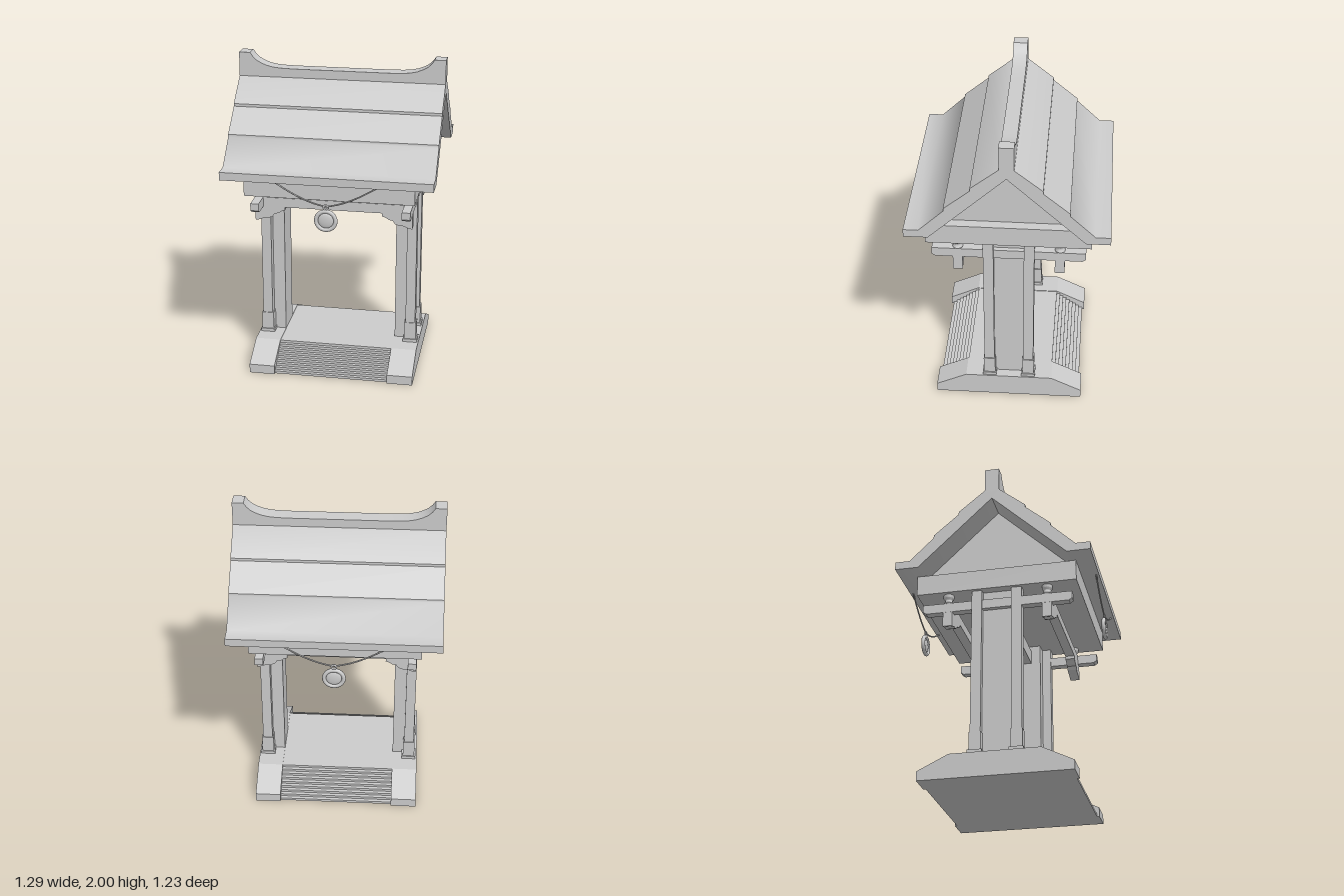
import * as THREE from 'three';
import { toCreasedNormals } from 'three/addons/utils/BufferGeometryUtils.js';

const stone = new THREE.MeshStandardMaterial({ color: 0xcccccc });
stone.name = 'pale grey';

export function createModel() {
  const model = new THREE.Group();
  model.name = 'shrineGate';

  const add = (name, geometry, x = 0, y = 0, z = 0, parent = model) => {
    const mesh = new THREE.Mesh(geometry, stone);
    mesh.name = name;
    mesh.position.set(x, y, z);
    parent.add(mesh);
    return mesh;
  };
  // Box given by its centre in x and z and its bottom and top heights
  const box = (name, w, d, y0, y1, x = 0, z = 0) =>
    add(name, new THREE.BoxGeometry(w, y1 - y0, d), x, (y0 + y1) / 2, z);
  // Mirror a half outline (listed from right to centre) into a closed one
  const mirrored = (half) => [...half, ...half.filter((p) => p[0] !== 0).reverse().map(([a, b]) => [-a, b])];
  const extrude = (points, depth, crease = 0.9) => {
    const shape = new THREE.Shape(points.map(([a, b]) => new THREE.Vector2(a, b)));
    const g = new THREE.ExtrudeGeometry(shape, { depth, bevelEnabled: false });
    g.translate(0, 0, -depth / 2);
    return toCreasedNormals(g, crease);
  };
  // Outline in (z, y), run along x
  const alongX = (points, width, crease) => extrude(points, width, crease).rotateY(-Math.PI / 2);

  // Base: sloped side curbs, a middle platform and stairs front and back
  const curb = alongX(mirrored([[0.47, 0], [0.47, 0.058], [0.277, 0.152]]), 0.162, 0.1);
  for (const s of [-1, 1]) add('baseCurb', curb, s * 0.444, 0, 0);
  const stairs = [];
  const count = 9, rise = 0.148 / count, tread = 0.0225;
  for (let i = 0; i < count; i++) {
    const z = 0.455 - i * tread;
    stairs.push([z, i * rise], [z, (i + 1) * rise]);
  }
  add('stairsAndPlatform', alongX(mirrored(stairs), 0.728, 0.1));

  // Pillars: a wide panel between two posts on each side
  for (const sx of [-1, 1]) {
    box('pillarPanel', 0.1, 0.2, 0.148, 1.23, sx * 0.413, 0);
    for (const sz of [-1, 1]) {
      const x = sx * 0.47, z = sz * 0.125;
      box('post', 0.062, 0.064, 0.15, 1.23, x, z);
      box('postFoot', 0.076, 0.074, 0.172, 0.286, x, z);
      box('postPlinth', 0.092, 0.088, 0.15, 0.172, x, z);
    }
  }

  // Side arms running front to back, with chamfered lower ends
  const arm = alongX(mirrored([[0.45, 1.1], [0.47, 1.115], [0.47, 1.16]]), 0.052, 0.1);
  // Cross beams with stepped, scalloped bracket ends
  const crossBeam = extrude(mirrored([
    [0.492, 1.16], [0.492, 1.005], [0.465, 1.012], [0.435, 1.024], [0.41, 1.024],
    [0.385, 1.034], [0.37, 1.055], [0.345, 1.06], [0.325, 1.074], [0.305, 1.08], [0.305, 1.1],
  ]), 0.06, 0.1);
  // Round waisted blocks between arms and roof beam
  const capital = new THREE.LatheGeometry([
    [0, 0], [0.028, 0], [0.032, 0.008], [0.023, 0.022], [0.023, 0.032],
    [0.033, 0.044], [0.033, 0.068], [0, 0.068],
  ].map(([r, y]) => new THREE.Vector2(r, y)), 20);
  const capitalGeometry = toCreasedNormals(capital, 0.7);
  for (const sx of [-1, 1]) {
    add('sideArm', arm, sx * 0.467);
    for (const sz of [-1, 1]) add('capital', capitalGeometry, sx * 0.467, 1.158, sz * 0.312);
  }
  for (const sz of [-1, 1]) add('crossBeam', crossBeam, 0, 0, sz * 0.312);
  box('centreBeam', 0.8, 0.08, 1.1, 1.19);

  // Roof frame and recessed gable
  box('roofFrame', 1.046, 1.006, 1.222, 1.352);
  add('gable', alongX([[0.467, 1.35], [0, 1.788], [-0.467, 1.35]], 0.92, 0.1));

  // Roof: three overlapping tiers per slope, flared at the eaves
  add('roof', alongX([
    [0.467, 1.352], [0.613, 1.352], [0.613, 1.402], [0.522, 1.402],
    [0.37, 1.548], [0.37, 1.565], [0.212, 1.698], [0.212, 1.715], [0.045, 1.85],
    [-0.045, 1.85], [-0.212, 1.715], [-0.212, 1.698], [-0.37, 1.565], [-0.37, 1.548],
    [-0.522, 1.402], [-0.613, 1.402], [-0.613, 1.352], [-0.467, 1.352], [0, 1.79],
  ], 1.29, 0.85));

  // Ridge with upturned ends
  add('ridge', extrude(mirrored([
    [0.645, 1.82], [0.645, 2], [0.575, 2], [0.558, 1.975], [0.535, 1.953], [0.505, 1.936],
    [0.47, 1.922], [0.43, 1.913], [0.38, 1.908], [0.3, 1.906],
  ]), 0.09, 0.5));

  // Hanging medallion on a cord, front and back
  const cord = new THREE.CatmullRomCurve3([
    [-0.315, 1.356], [-0.2, 1.288], [-0.1, 1.243], [-0.02, 1.221], [0, 1.218],
    [0.02, 1.221], [0.1, 1.243], [0.2, 1.288], [0.315, 1.356],
  ].map(([x, y]) => new THREE.Vector3(x, y, 0)));
  for (const sz of [-1, 1]) {
    const pendant = new THREE.Group();
    pendant.name = 'pendant';
    pendant.position.z = sz * 0.594;
    model.add(pendant);
    add('cord', new THREE.TubeGeometry(cord, 40, 0.005, 6), 0, 0, 0, pendant);
    add('medallionRim', new THREE.TorusGeometry(0.059, 0.0125, 10, 36), 0, 1.128, 0, pendant);
    add('medallionDisc', new THREE.SphereGeometry(0.048, 28, 14), 0, 1.128, 0, pendant).scale.z = 0.24;
    add('medallionLoop', new THREE.TorusGeometry(0.014, 0.006, 8, 16), 0, 1.212, 0, pendant);
  }

  return model;
}
